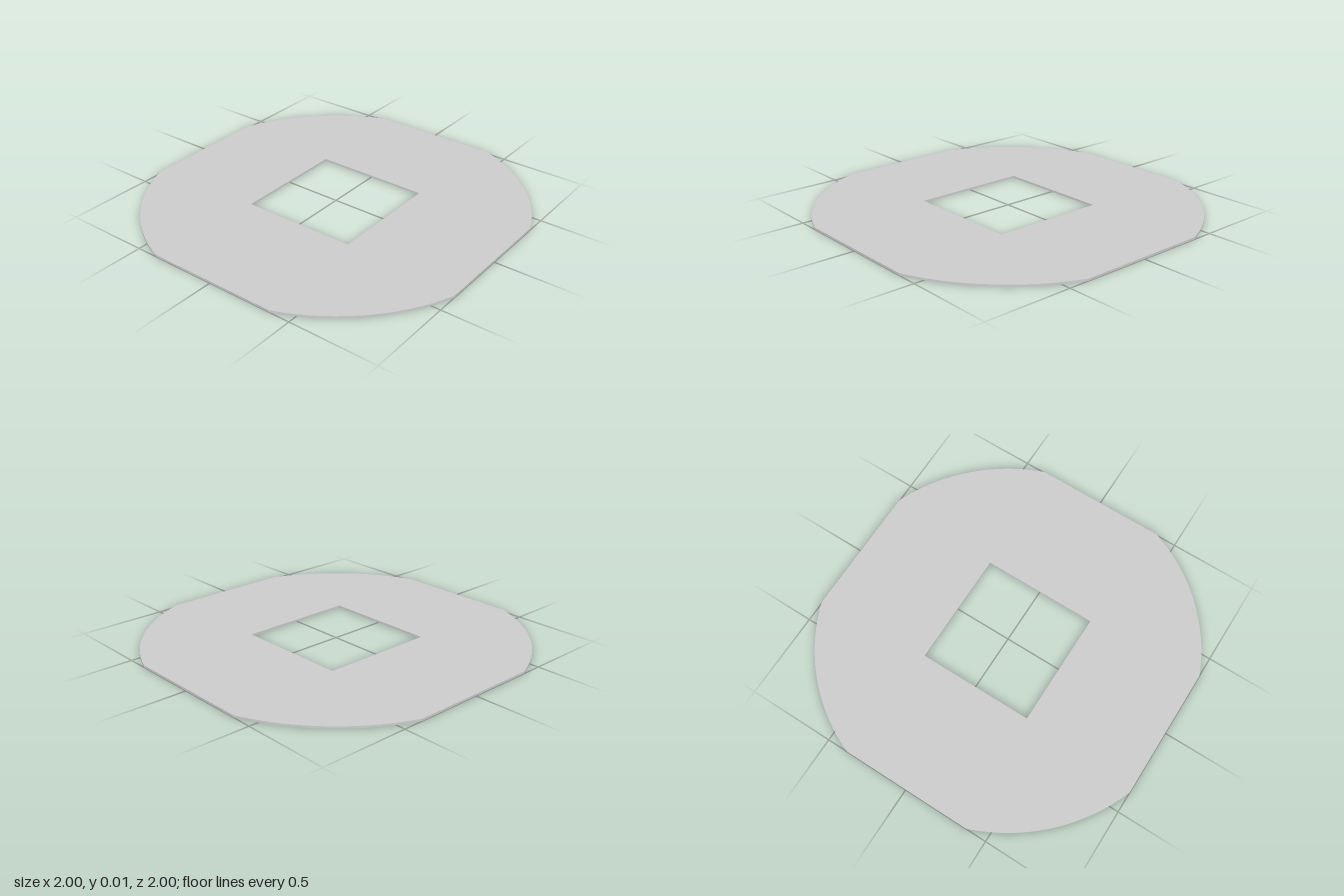
import * as THREE from 'three';

const HALF = 1;         // half width across the flats
const CORNER = 0.38;    // half length of each flat edge
const HOLE = 0.333;     // half width of the square hole
const THICKNESS = 0.012;

export function createModel() {
  const group = new THREE.Group();
  group.name = 'flatWasher';

  // Disc outline trimmed by four flats
  const radius = Math.hypot(HALF, CORNER);
  const start = Math.atan2(CORNER, HALF);
  const outline = new THREE.Shape();
  for (let i = 0; i < 4; i++) {
    const turn = i * Math.PI / 2;
    outline.absarc(0, 0, radius, turn + start, turn + Math.PI / 2 - start, false);
  }
  outline.closePath();

  // Square centre hole
  const hole = new THREE.Path();
  hole.moveTo(-HOLE, -HOLE);
  hole.lineTo(-HOLE, HOLE);
  hole.lineTo(HOLE, HOLE);
  hole.lineTo(HOLE, -HOLE);
  hole.closePath();
  outline.holes.push(hole);

  // Thin plate lying on the ground
  const geometry = new THREE.ExtrudeGeometry(outline, {
    depth: THICKNESS, bevelEnabled: false, curveSegments: 24,
  });
  geometry.rotateX(-Math.PI / 2);
  const plate = new THREE.Mesh(geometry, new THREE.MeshStandardMaterial({ color: 0xcccccc }));
  plate.name = 'plate';
  group.add(plate);
  return group;
}
